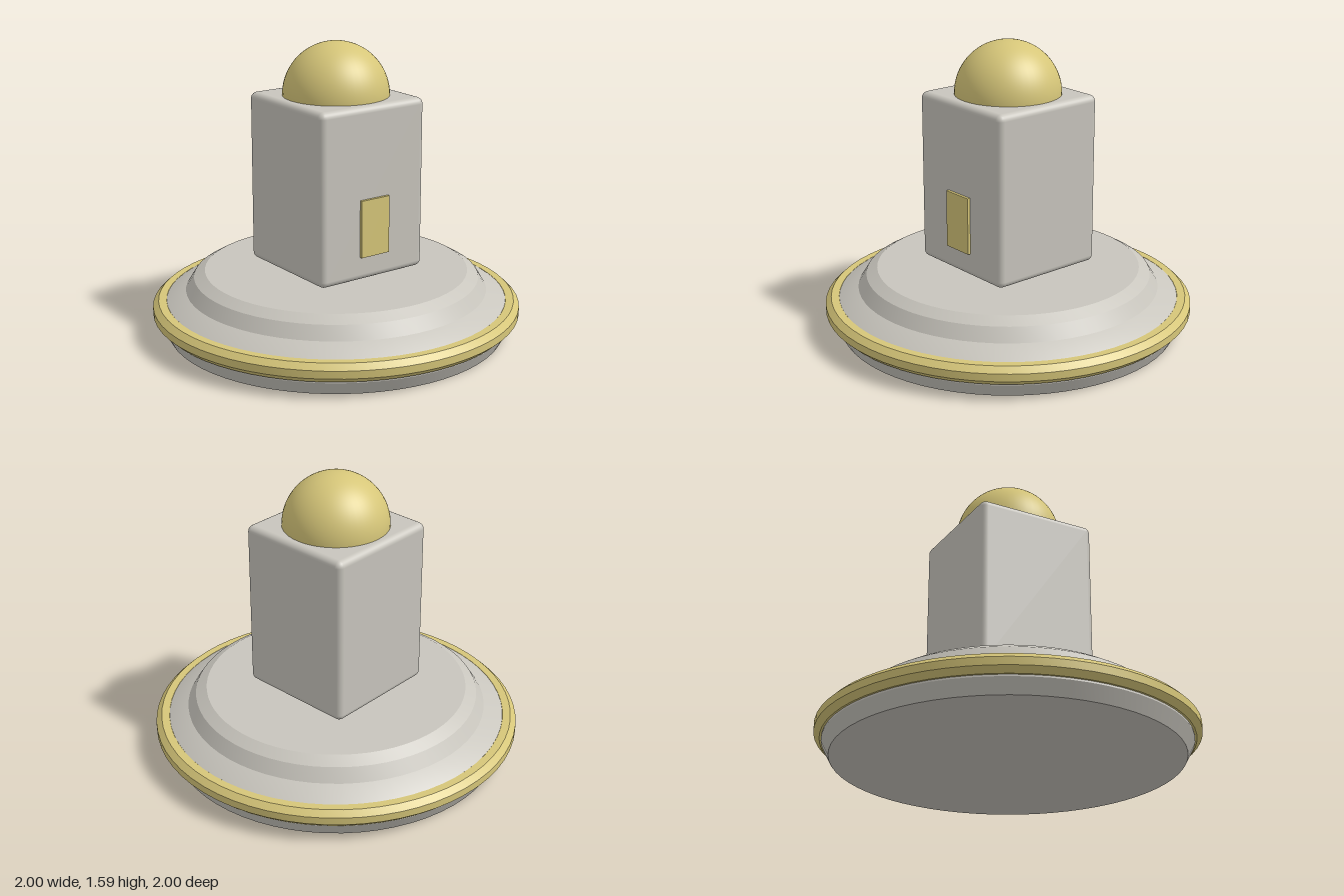
import * as THREE from 'three';
import { toCreasedNormals } from 'three/addons/utils/BufferGeometryUtils.js';
import { RoundedBoxGeometry } from 'three/addons/geometries/RoundedBoxGeometry.js';

const stone = new THREE.MeshStandardMaterial({ name: 'stone grey', color: 0xc8c5bd });
const gold = new THREE.MeshStandardMaterial({ name: 'gold', color: 0xd6c679 });

// Turned solid from [radius, height] points, bottom to top
function turned(points, crease) {
  const profile = points.map(([r, y]) => new THREE.Vector2(r, y));
  return toCreasedNormals(new THREE.LatheGeometry(profile, 64), crease);
}

export function createModel() {
  const model = new THREE.Group();
  model.name = 'domedTower';

  function add(name, geometry, material, x = 0, y = 0, z = 0) {
    const mesh = new THREE.Mesh(geometry, material);
    mesh.name = name;
    mesh.position.set(x, y, z);
    model.add(mesh);
  }

  // Stepped round base with a bevelled shoulder
  add('base', turned([
    [0, 0], [0.92, 0], [0.96, 0.075], [0.95, 0.165], [0.92, 0.188],
    [0.82, 0.235], [0.775, 0.305], [0.715, 0.34], [0, 0.34],
  ], 0.35), stone);

  // Faceted ring around the rim, eight-sided in section
  const section = [];
  for (let i = 0; i <= 8; i++) {
    const a = (i + 0.5) * Math.PI / 4;
    section.push([0.948 + 0.0563 * Math.cos(a), 0.135 + 0.0541 * Math.sin(a)]);
  }
  add('rimRing', turned(section, 0.4), gold);

  // Tower block hovering just above the base
  add('tower', new RoundedBoxGeometry(0.668, 0.93, 0.668, 3, 0.035), stone, 0, 0.835, 0);

  // Half-sphere roof
  add('dome', new THREE.SphereGeometry(0.285, 48, 24, 0, Math.PI * 2, 0, Math.PI / 2), gold, 0, 1.3, 0);

  // Door plate on the front face
  add('door', new THREE.BoxGeometry(0.18, 0.31, 0.03), gold, 0, 0.655, 0.335);

  return model;
}
